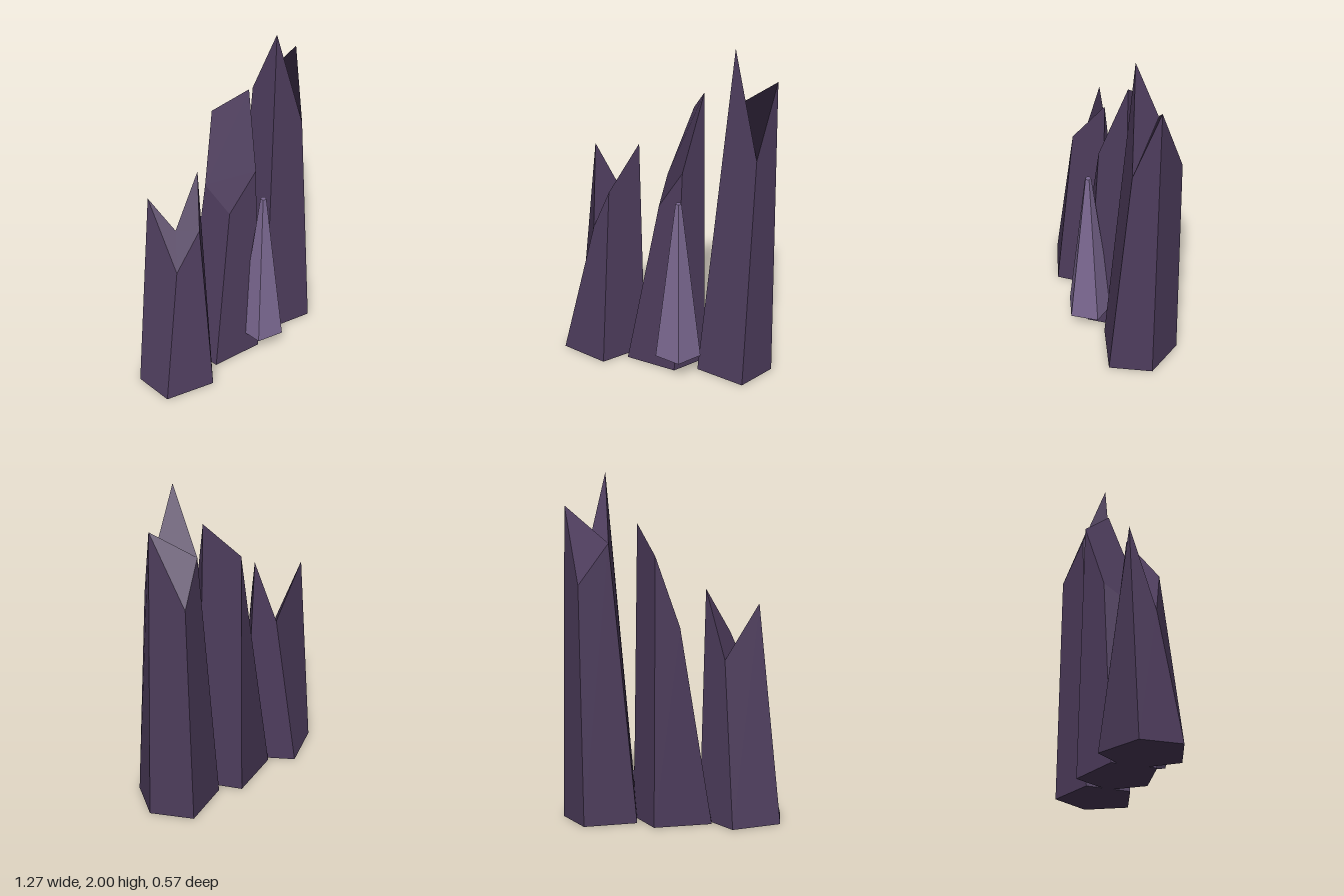
import * as THREE from 'three';

const rockMaterial = new THREE.MeshStandardMaterial({ color: 0x4d3c5c });
rockMaterial.name = 'dark purple rock';
const crystalMaterial = new THREE.MeshStandardMaterial({ color: 0x7b6891 });
crystalMaterial.name = 'light purple crystal';

// Five-sided shard: base corners [x, z], top corners [x, y, z], both running
// front-left, front-right, right, back-right, back-left.
function makeSpire(name, base, top, capTriangles) {
  const low = base.map(([x, z]) => new THREE.Vector3(x, 0, z));
  const high = top.map((p) => new THREE.Vector3(...p));
  const positions = [];
  const normals = [];

  // One facet with a single normal taken over its whole outline
  const addFacet = (corners, triangles) => {
    const normal = new THREE.Vector3();
    corners.forEach((p, i) => {
      normal.add(new THREE.Vector3().crossVectors(p, corners[(i + 1) % corners.length]));
    });
    normal.normalize();
    for (const i of triangles.flat()) {
      positions.push(...corners[i].toArray());
      normals.push(...normal.toArray());
    }
  };

  // Sides
  for (let i = 0; i < 5; i++) {
    const j = (i + 1) % 5;
    addFacet([low[i], low[j], high[j], high[i]], [[0, 1, 2], [0, 2, 3]]);
  }
  // Jagged cap and flat underside
  addFacet(high, capTriangles);
  addFacet([...low].reverse(), [[0, 1, 2], [0, 2, 3], [0, 3, 4]]);

  const geometry = new THREE.BufferGeometry();
  geometry.setAttribute('position', new THREE.Float32BufferAttribute(positions, 3));
  geometry.setAttribute('normal', new THREE.Float32BufferAttribute(normals, 3));
  const mesh = new THREE.Mesh(geometry, rockMaterial);
  mesh.name = name;
  return mesh;
}

export function createModel() {
  const model = new THREE.Group();
  model.name = 'rockSpires';

  const fanFromBackLeft = [[0, 1, 4], [1, 2, 4], [2, 3, 4]];
  const fanFromBackRight = [[0, 3, 4], [0, 1, 3], [1, 2, 3]];

  // Tall spire
  model.add(makeSpire('tallSpire',
    [[0.21, 0.094], [0.508, 0.186], [0.632, -0.038], [0.49, -0.258], [0.192, -0.17]],
    [[0.374, 2.0, -0.012], [0.526, 1.39, 0.063], [0.602, 1.815, -0.066], [0.512, 1.38, -0.236], [0.347, 1.61, -0.163]],
    fanFromBackLeft));

  // Middle spire with a slanted top
  model.add(makeSpire('middleSpire',
    [[-0.23, 0.09], [0.082, 0.15], [0.22, -0.032], [0.09, -0.26], [-0.237, -0.172]],
    [[-0.048, 1.02, 0.03], [0.108, 1.27, 0.087], [0.193, 1.715, -0.05], [0.082, 1.545, -0.232], [-0.054, 1.137, -0.158]],
    fanFromBackLeft));

  // Short spire with two points
  model.add(makeSpire('shortSpire',
    [[-0.638, 0.083], [-0.354, 0.184], [-0.165, -0.046], [-0.356, -0.284], [-0.63, -0.158]],
    [[-0.458, 0.815, 0.009], [-0.336, 1.085, 0.073], [-0.198, 1.348, -0.073], [-0.307, 0.95, -0.15], [-0.498, 1.277, -0.162]],
    fanFromBackRight));

  // Small tapered crystal leaning against the front of the middle spire
  const crystalHeight = 0.975;
  const crystalShape = new THREE.CylinderGeometry(0.018, 0.139, crystalHeight, 5, 1, false, Math.PI / 2)
    .toNonIndexed();
  crystalShape.computeVertexNormals();
  const crystal = new THREE.Mesh(crystalShape, crystalMaterial);
  crystal.name = 'frontCrystal';
  crystal.position.set(0.105, 0.137 + crystalHeight / 2, 0.151);
  model.add(crystal);

  return model;
}
